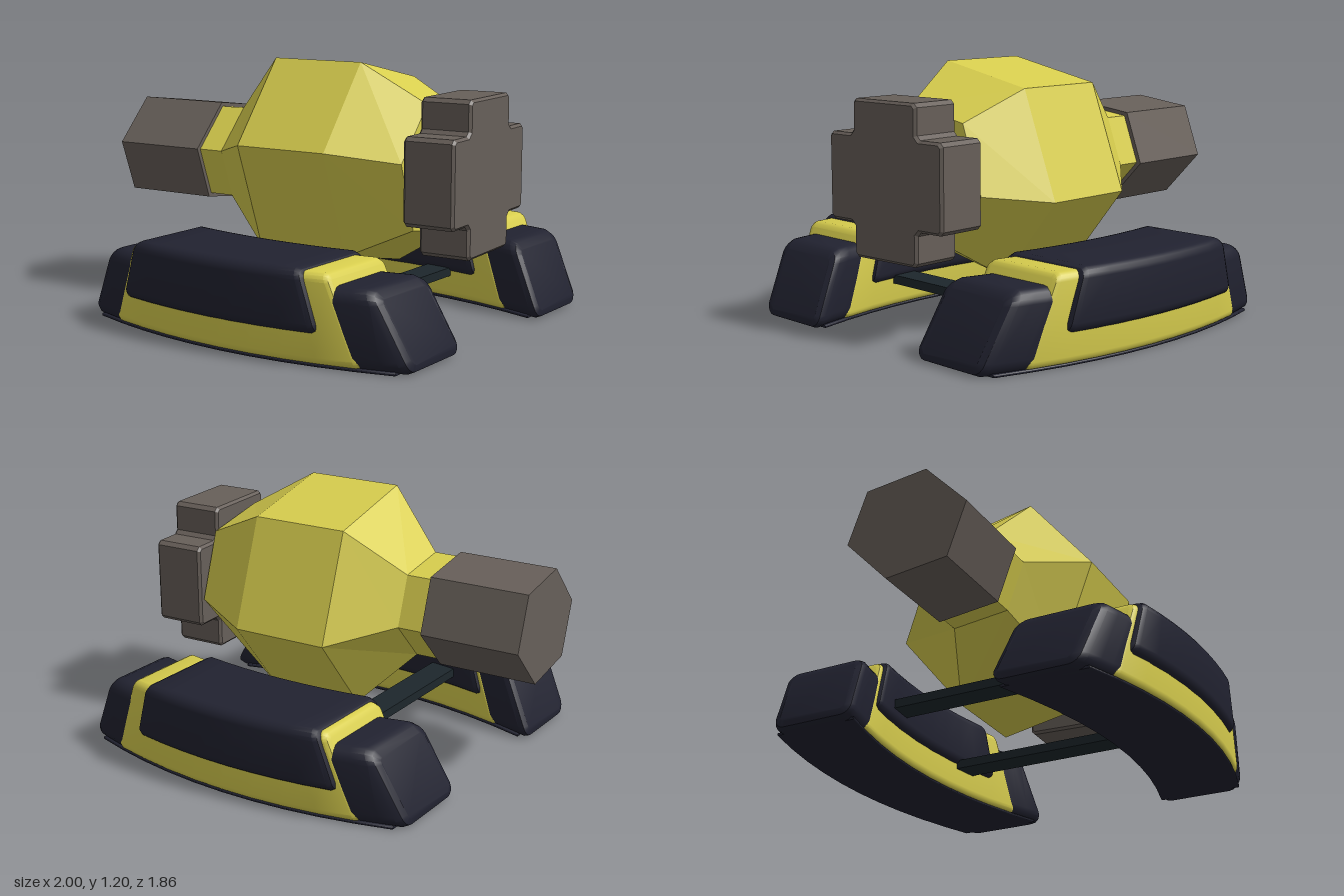
import * as THREE from 'three';
import { toCreasedNormals } from 'three/addons/utils/BufferGeometryUtils.js';

const mat = (name, color) => {
  const m = new THREE.MeshStandardMaterial({ color });
  m.name = name;
  return m;
};

const AXIS_Y = 0.717;

// Three (z, y) corners, completed to a point-symmetric hexagon
const hex = (pts) => [...pts, ...pts.map(([z, y]) => [-z, -y])];
const BARREL = hex([[0.488, 0.108], [0.18, 0.483], [-0.305, 0.382]]);
const END = hex([[0.33, 0.065], [0.105, 0.305], [-0.22, 0.245]]);
const GRIP = hex([[0.288, 0.038], [0.09, 0.243], [-0.2, 0.205]]);
const NECK = GRIP.map(([z, y]) => [z * 0.92, y * 0.92]);

// Closed faceted solid through hexagonal rings along x
function loft(rings) {
  const pos = [];
  const at = (i, j) => {
    const [x, sec] = rings[i];
    const [z, y] = sec[j % 6];
    return [x, AXIS_Y + y, z];
  };
  const last = rings.length - 1;
  for (let j = 0; j < 6; j++) {
    for (let i = 0; i < last; i++) {
      const a = at(i, j), b = at(i, j + 1), c = at(i + 1, j), d = at(i + 1, j + 1);
      pos.push(...a, ...c, ...b, ...b, ...c, ...d);
    }
    pos.push(rings[0][0], AXIS_Y, 0, ...at(0, j), ...at(0, j + 1));
    pos.push(rings[last][0], AXIS_Y, 0, ...at(last, j + 1), ...at(last, j));
  }
  const g = new THREE.BufferGeometry();
  g.setAttribute('position', new THREE.Float32BufferAttribute(pos, 3));
  g.computeVertexNormals();
  return g;
}

function roundedRect(w, h, r) {
  const s = new THREE.Shape();
  const x = w / 2 - r, y = h / 2 - r;
  s.absarc(x, y, r, 0, Math.PI / 2);
  s.absarc(-x, y, r, Math.PI / 2, Math.PI);
  s.absarc(-x, -y, r, Math.PI, Math.PI * 1.5);
  s.absarc(x, -y, r, Math.PI * 1.5, Math.PI * 2);
  s.closePath();
  return s;
}

// Rounded bar bent along the skid's arc; ends run from bottom x pair to top x pair
function skidBar(side, bottom, top, y0, y1, width, round, steps) {
  const h = y1 - y0, L = bottom[1] - bottom[0], b = round;
  const g = new THREE.ExtrudeGeometry(roundedRect(width - 2 * b, h - 2 * b, b * 0.6), {
    depth: L - 2 * b, steps, curveSegments: 2,
    bevelEnabled: true, bevelThickness: b, bevelSize: b, bevelSegments: 2,
  });
  const p = g.attributes.position;
  for (let i = 0; i < p.count; i++) {
    const t = (p.getZ(i) + b) / L;
    const f = Math.pow(Math.min(1, Math.max(0, p.getY(i) / h + 0.5)), 1.25);
    const x0 = THREE.MathUtils.lerp(bottom[0], top[0], f);
    const x1 = THREE.MathUtils.lerp(bottom[1], top[1], f);
    const x = THREE.MathUtils.lerp(x0, x1, t);
    const centre = 0.69 - 0.19 * x * x;
    p.setXYZ(i, x, y0 + h / 2 + p.getY(i), side * centre - p.getX(i));
  }
  g.deleteAttribute('normal');
  return toCreasedNormals(g, 0.5);
}

// Plus-shaped plate with small chamfers on every corner
function crossShape() {
  const a = 0.197, o = 0.352, c = 0.018;
  const quarter = [[o, -a + c], [o, a - c], [o - c, a], [a + c, a], [a, a + c], [a, o - c], [a - c, o]];
  const pts = [];
  for (let k = 0; k < 4; k++) {
    for (const [x, y] of quarter.slice(1)) {
      const q = [[x, y], [-y, x], [-x, -y], [y, -x]][k];
      pts.push(new THREE.Vector2(...q));
    }
    // outer corner leading into the next arm
    const [x, y] = [-a + c, o];
    pts.push(new THREE.Vector2(...[[x, y], [-y, x], [-x, -y], [y, -x]][k]));
  }
  return new THREE.Shape(pts);
}

export function createModel() {
  const yellow = mat('yellow paint', 0xd8ce4e);
  const grey = mat('warm grey metal', 0x675f59);
  const navy = mat('dark navy rubber', 0x212230);
  const steel = mat('dark strut steel', 0x1d272c);

  const model = new THREE.Group();
  model.name = 'model';
  const add = (parent, name, geometry, material) => {
    const m = new THREE.Mesh(geometry, material);
    m.name = name;
    parent.add(m);
    return m;
  };

  // Hexagonal body with neck
  add(model, 'body', loft([
    [-0.54, NECK], [-0.405, NECK], [-0.145, BARREL], [0.315, BARREL], [0.615, END],
  ]), yellow);

  // Hexagonal rear tube
  add(model, 'tube', loft([[-1, GRIP], [-0.53, GRIP]]), grey);

  // Cross-shaped plate and its hub
  const crossGeo = new THREE.ExtrudeGeometry(crossShape(), {
    depth: 0.222, bevelEnabled: true, bevelThickness: 0.012, bevelSize: 0.012,
    bevelOffset: -0.012, bevelSegments: 1,
  });
  crossGeo.translate(0, 0, -0.111).rotateY(Math.PI / 2 + 0.02);
  add(model, 'crossPlate', toCreasedNormals(crossGeo, 0.3), grey).position.set(0.753, 0.712, 0.003);
  const hub = add(model, 'hub', new THREE.CylinderGeometry(0.13, 0.13, 0.06, 12), grey);
  hub.rotation.z = Math.PI / 2;
  hub.position.set(0.63, AXIS_Y, 0);

  // Undercarriage, turned slightly against the body
  const base = new THREE.Group();
  base.name = 'undercarriage';
  base.position.x = 0.09;
  base.rotation.y = -0.05;
  model.add(base);

  for (const side of [1, -1]) {
    const skid = new THREE.Group();
    skid.name = side > 0 ? 'frontSkid' : 'backSkid';
    base.add(skid);
    add(skid, 'skidCore', skidBar(side, [-0.68, 0.68], [-0.53, 0.53], 0.006, 0.4, 0.43, 0.025, 8), yellow);
    add(skid, 'skidPanel', skidBar(side, [-0.59, 0.5], [-0.5, 0.42], 0.14, 0.415, 0.48, 0.03, 8), navy);
    add(skid, 'skidSole', skidBar(side, [-0.82, 0.82], [-0.82, 0.82], 0, 0.014, 0.41, 0.004, 10), navy);
    for (const end of [-1, 1]) {
      const span = (a, b) => (end > 0 ? [a, b] : [-b, -a]);
      add(skid, 'skidEnd', skidBar(side, span(0.6, 0.885), span(0.46, 0.72), 0, 0.345, 0.425, 0.04, 3), navy);
    }
  }

  // Cross struts joining the skids
  for (const [x, y] of [[-0.36, 0.225], [0.28, 0.142]]) {
    add(base, 'strut', new THREE.BoxGeometry(0.13, 0.042, 1.1), steel).position.set(x, y, 0);
  }
  return model;
}
